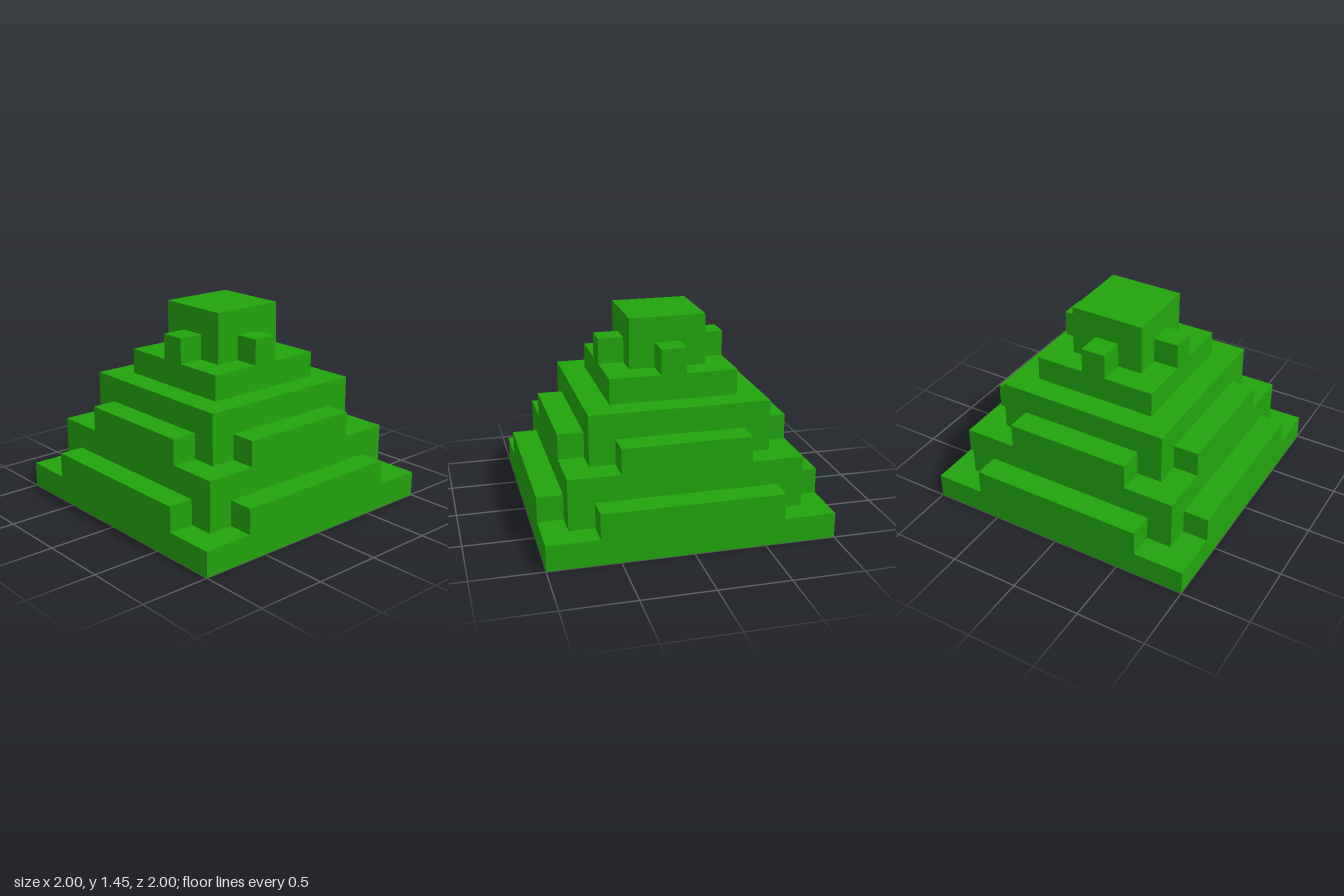
import * as THREE from 'three';

// One block of the stepped grid: the base is 11 blocks wide
const U = 2 / 11;

export function createModel() {
  const model = new THREE.Group();
  model.name = 'steppedPyramid';
  const green = new THREE.MeshStandardMaterial({ color: 0x22a30e });
  green.name = 'green';

  const block = (name, w, h, d, x, y, z) => {
    const mesh = new THREE.Mesh(new THREE.BoxGeometry(w * U, h * U, d * U), green);
    mesh.name = name;
    mesh.position.set(x * U, (y + h / 2) * U, z * U);
    return mesh;
  };

  // Square tiers: name, width, bottom, height
  const tiers = [
    ['baseTier', 11, 0, 1],
    ['lowerTier', 9, 1, 2],
    ['middleTier', 7, 3, 2],
    ['upperTier', 5, 5, 1],
    ['topBlock', 3, 6, 2],
  ];
  for (const [name, w, y, h] of tiers) model.add(block(name, w, h, w, 0, y, 0));

  // Raised ledges along the four sides, open at the corners: name, length, distance, bottom
  const ledges = [
    ['lowerLedge', 7, 5, 1],
    ['middleLedge', 5, 4, 3],
    ['topLedge', 1, 2, 6],
  ];
  for (const [name, length, distance, y] of ledges) {
    const ring = new THREE.Group();
    ring.name = name + 's';
    for (const side of [-1, 1]) {
      ring.add(block(name, length, 1, 1, 0, y, side * distance));
      ring.add(block(name, 1, 1, length, side * distance, y, 0));
    }
    model.add(ring);
  }
  return model;
}
